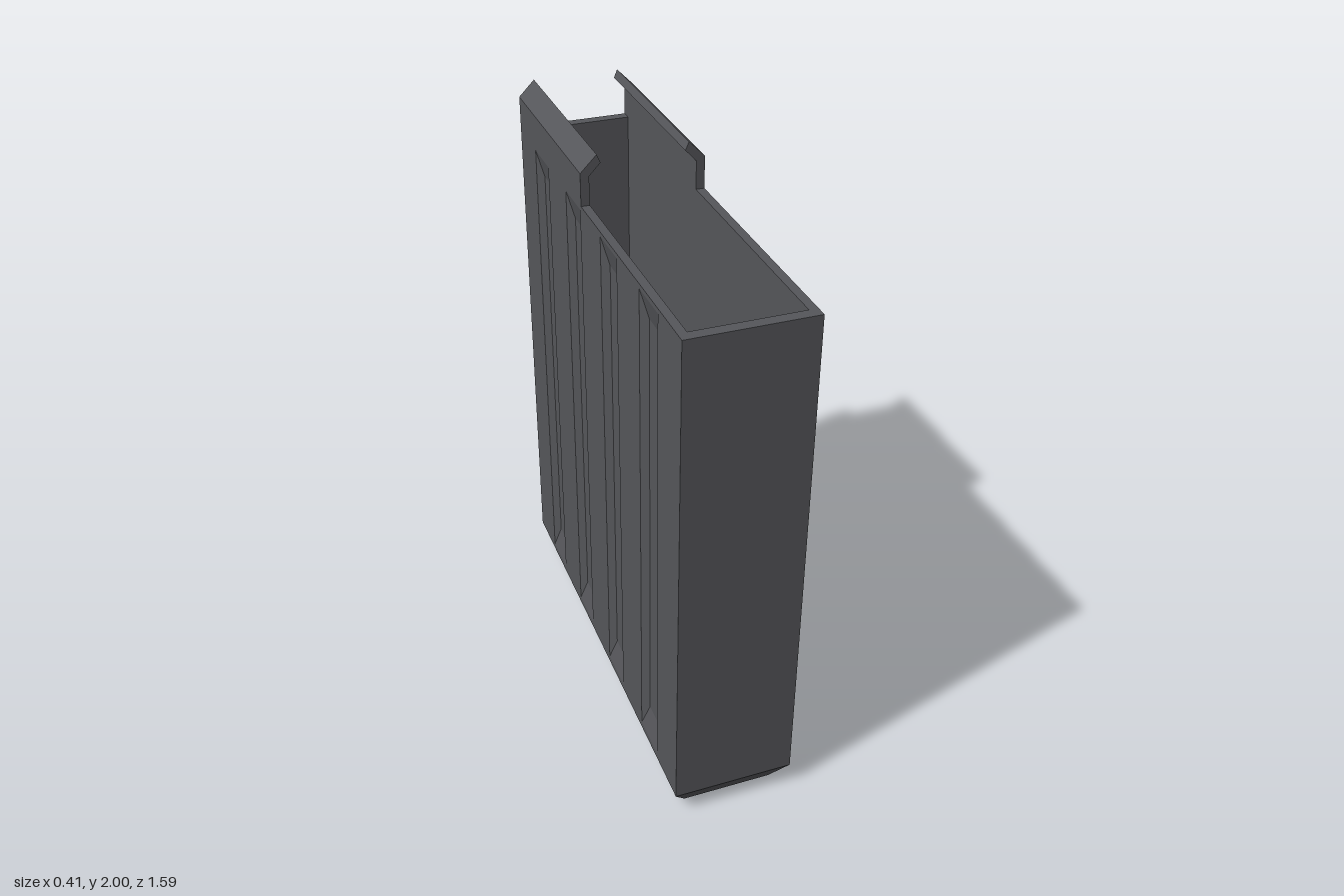
import * as THREE from 'three';

const HX = 0.207, HZ = 0.795, TOP = 1.835, CHAMFER = 0.088;
const material = new THREE.MeshStandardMaterial({ color: 0x55565a, flatShading: true });

// Skins four-cornered rings in order; skip(ringIndex, sideIndex) leaves a face out.
function loft(rings, { skip = () => false, capStart = false, capEnd = false } = {}) {
  const pos = [];
  const quad = (a, b, c, d) => pos.push(...a, ...b, ...c, ...a, ...c, ...d);
  for (let r = 0; r < rings.length - 1; r++) {
    for (let i = 0; i < 4; i++) {
      if (skip(r, i)) continue;
      const j = (i + 1) % 4;
      quad(rings[r][i], rings[r][j], rings[r + 1][j], rings[r + 1][i]);
    }
  }
  if (capStart) quad(...[...rings[0]].reverse());
  if (capEnd) quad(...rings[rings.length - 1]);
  const g = new THREE.BufferGeometry();
  g.setAttribute('position', new THREE.Float32BufferAttribute(pos, 3));
  g.computeVertexNormals();
  return g;
}

function addMesh(parent, name, geometry) {
  const mesh = new THREE.Mesh(geometry, material);
  mesh.name = name;
  parent.add(mesh);
  return mesh;
}

const levelRing = (x, z, y) => [[-x, y, z], [x, y, z], [x, y, -z], [-x, y, -z]];
const uprightRing = (u, w, lo, hi, z) => [[u - w, lo, z], [u + w, lo, z], [u + w, hi, z], [u - w, hi, z]];

// Flat side wall with four recessed, bevelled grooves, facing +z before it is turned
function createSidePanel(name) {
  const panel = new THREE.Group();
  panel.name = name;
  const toPoints = (ring) => ring.map(([x, y]) => new THREE.Vector2(x, y));
  const sheet = new THREE.Shape(toPoints(uprightRing(0, HZ, CHAMFER, TOP, 0)));
  for (const u of [-0.533, -0.178, 0.178, 0.533]) {
    const rim = uprightRing(u, 0.077, 0.11, 1.82, 0);
    const bed = uprightRing(u, 0.052, 0.2, 1.73, -0.022);
    sheet.holes.push(new THREE.Path(toPoints(rim).reverse()));
    addMesh(panel, 'groove', loft([rim, bed], { capEnd: true }));
  }
  addMesh(panel, 'sideWall', new THREE.ShapeGeometry(sheet));
  return panel;
}

// Inward-bent retaining lip along the rear half of one side
function createLip(side) {
  const profile = [[HX, TOP], [HX, 1.945], [0.152, 2.0], [0.14, 1.972], [0.178, 1.932], [0.178, TOP]];
  const shape = new THREE.Shape(profile.map(([x, y]) => new THREE.Vector2(x * side, y)));
  const g = new THREE.ExtrudeGeometry(shape, { depth: 0.705, bevelEnabled: false });
  return g.translate(0, 0, -HZ);
}

export function createModel() {
  const model = new THREE.Group();
  model.name = 'boxContainer';

  // Hollow casing: chamfered foot, end walls, rim, inner walls and floor
  addMesh(model, 'casing', loft([
    levelRing(0.155, 0.74, 0),
    levelRing(HX, HZ, CHAMFER),
    levelRing(HX, HZ, TOP),
    levelRing(0.178, 0.757, TOP),
    levelRing(0.178, 0.757, CHAMFER),
  ], { skip: (r, i) => r === 1 && i % 2 === 1, capStart: true, capEnd: true }));

  for (const [side, label] of [[1, 'left'], [-1, 'right']]) {
    const panel = createSidePanel(label + 'Panel');
    panel.rotation.y = side * Math.PI / 2;
    panel.position.x = side * HX;
    model.add(panel);
    addMesh(model, label + 'Lip', createLip(side));
  }
  return model;
}
